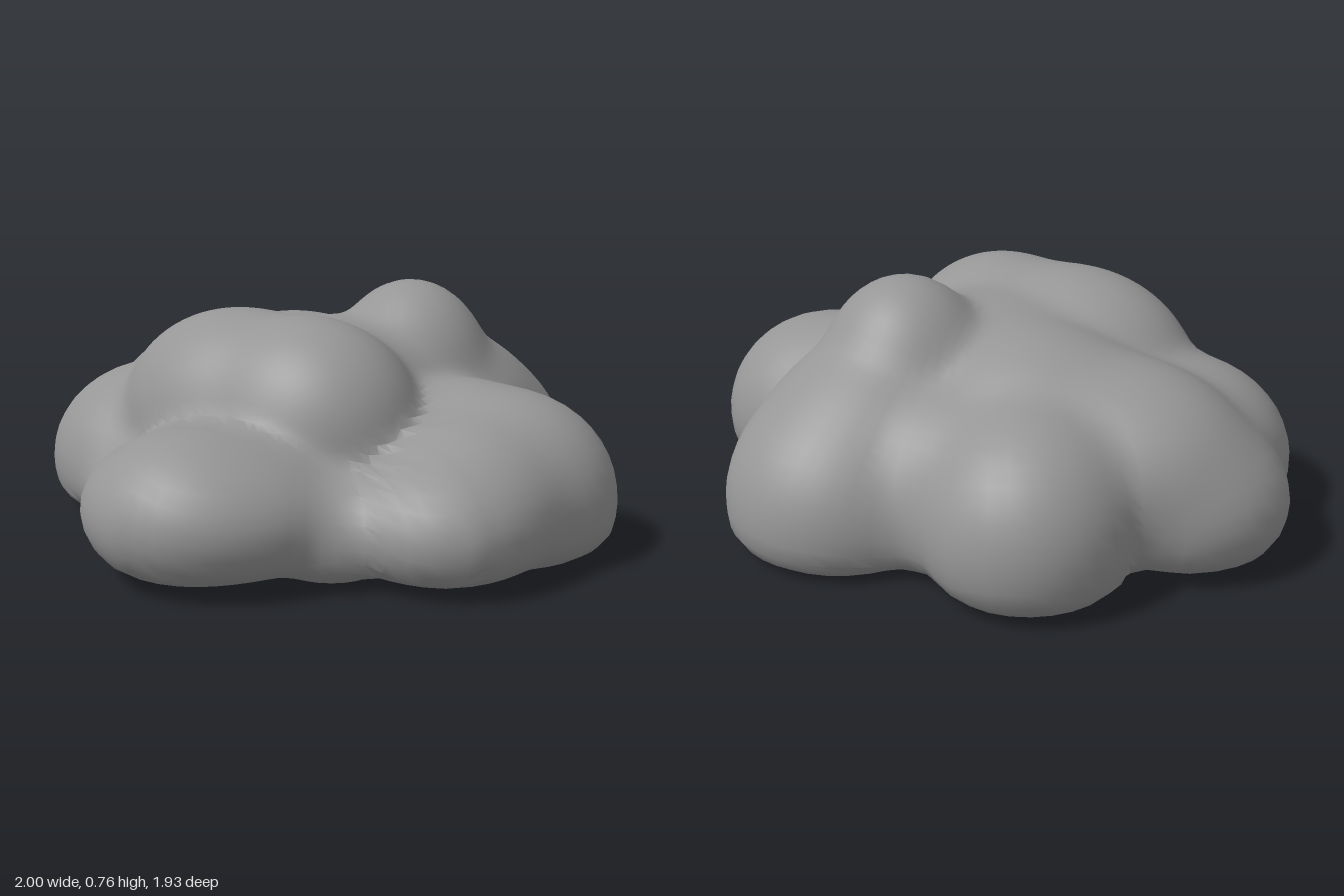
import * as THREE from 'three';
import { toCreasedNormals } from 'three/addons/utils/BufferGeometryUtils.js';

// Puffs of the cloud: centre x, y, z and radii x, y, z
const PUFFS = [
  [[0.00, 0.08, 0.00], [0.74, 0.28, 0.60]],    // filling
  [[0.40, 0.12, 0.42], [0.20, 0.18, 0.20]],
  [[-0.30, 0.12, 0.42], [0.22, 0.17, 0.17]],
  [[-0.12, 0.36, 0.18], [0.42, 0.34, 0.32]],   // crown
  [[0.15, 0.36, 0.19], [0.36, 0.34, 0.31]],
  [[0.03, 0.38, -0.08], [0.40, 0.275, 0.35]],
  [[0.17, 0.43, -0.34], [0.27, 0.33, 0.26]],   // peak
  [[0.20, 0.28, -0.45], [0.34, 0.31, 0.36]],
  [[-0.22, 0.30, -0.22], [0.42, 0.33, 0.38]],
  [[0.09, 0.19, 0.58], [0.39, 0.23, 0.36]],    // front
  [[0.10, 0.20, 0.70], [0.27, 0.215, 0.255]],
  [[0.66, 0.16, -0.13], [0.34, 0.325, 0.33]],  // left side
  [[0.66, 0.18, 0.08], [0.29, 0.26, 0.30]],
  [[0.66, 0.16, 0.24], [0.285, 0.21, 0.285]],
  [[0.50, 0.20, -0.12], [0.28, 0.30, 0.29]],
  [[0.22, 0.14, -0.56], [0.37, 0.36, 0.40]],   // back
  [[-0.12, 0.18, -0.50], [0.28, 0.32, 0.28]],
  [[-0.41, 0.19, -0.55], [0.31, 0.33, 0.325]],
  [[-0.67, 0.18, -0.14], [0.33, 0.25, 0.31]],  // right side
  [[-0.50, 0.30, -0.20], [0.39, 0.27, 0.34]],
  [[-0.52, 0.17, 0.14], [0.36, 0.31, 0.36]],
];
const BLEND = 0.022;
const CORE = new THREE.Vector3(0.05, 0.22, 0.05);
const ROWS = 40;
const COLS = 110;

// Smoothly blended distance to all puffs, negative inside, tucked in near the ground
function field(p) {
  let sum = 0;
  for (const [c, r] of PUFFS) {
    const q = Math.hypot((p.x - c[0]) / r[0], (p.y - c[1]) / r[1], (p.z - c[2]) / r[2]);
    sum += Math.exp((1 - q) * Math.min(...r) / BLEND);
  }
  return 7 * Math.max(0, 0.08 - p.y) ** 2 - BLEND * Math.log(sum + 1e-300);
}

// Walk inward along a ray until the cloud surface is met
function surfaceDistance(origin, dir, start) {
  const step = 0.01;
  const p = new THREE.Vector3();
  const at = (t) => field(p.copy(origin).addScaledVector(dir, t));
  let t = start;
  let outer = at(t);
  while (outer > 0 && t > step) {
    const inner = at(t - step);
    if (inner <= 0) return t - step * outer / (outer - inner);
    outer = inner;
    t -= step;
  }
  return t;
}

// Meridians run from the top down to the rim, then to the middle of the flat base
function cloudGeometry() {
  const positions = [];
  const index = [];
  const ground = new THREE.Vector3(CORE.x, 0, CORE.z);
  const dir = new THREE.Vector3();
  for (let j = 0; j <= COLS; j++) {
    const a = (j % COLS) / COLS * Math.PI * 2;
    const rim = surfaceDistance(ground, dir.set(Math.sin(a), 0, Math.cos(a)), 1.3);
    const lowest = -Math.atan2(CORE.y, rim);
    for (let i = 0; i < ROWS; i++) {
      const e = THREE.MathUtils.lerp(Math.PI / 2, lowest, i / (ROWS - 1));
      dir.set(Math.sin(a) * Math.cos(e), Math.sin(e), Math.cos(a) * Math.cos(e));
      const start = e < 0 ? Math.min(1.3, -CORE.y / dir.y) : 1.3;
      dir.multiplyScalar(surfaceDistance(CORE, dir, start)).add(CORE);
      positions.push(dir.x, i === ROWS - 1 ? 0 : Math.max(0, dir.y), dir.z);
    }
    positions.push(ground.x, 0, ground.z);
  }
  const n = ROWS + 1;
  for (let j = 0; j < COLS; j++) {
    for (let i = 0; i < ROWS; i++) {
      const tl = j * n + i, tr = tl + n;
      if (i < ROWS - 1) index.push(tl, tl + 1, tr + 1);
      if (i > 0) index.push(tl, tr + 1, tr);
    }
  }
  const geometry = new THREE.BufferGeometry();
  geometry.setAttribute('position', new THREE.Float32BufferAttribute(positions, 3));
  geometry.setIndex(index);
  return toCreasedNormals(geometry, 0.6);
}

export function createModel() {
  const group = new THREE.Group();
  group.name = 'cloud';
  const body = new THREE.Mesh(
    cloudGeometry(),
    new THREE.MeshStandardMaterial({ color: 0x969696 })
  );
  body.name = 'cloudBody';
  group.add(body);
  return group;
}
